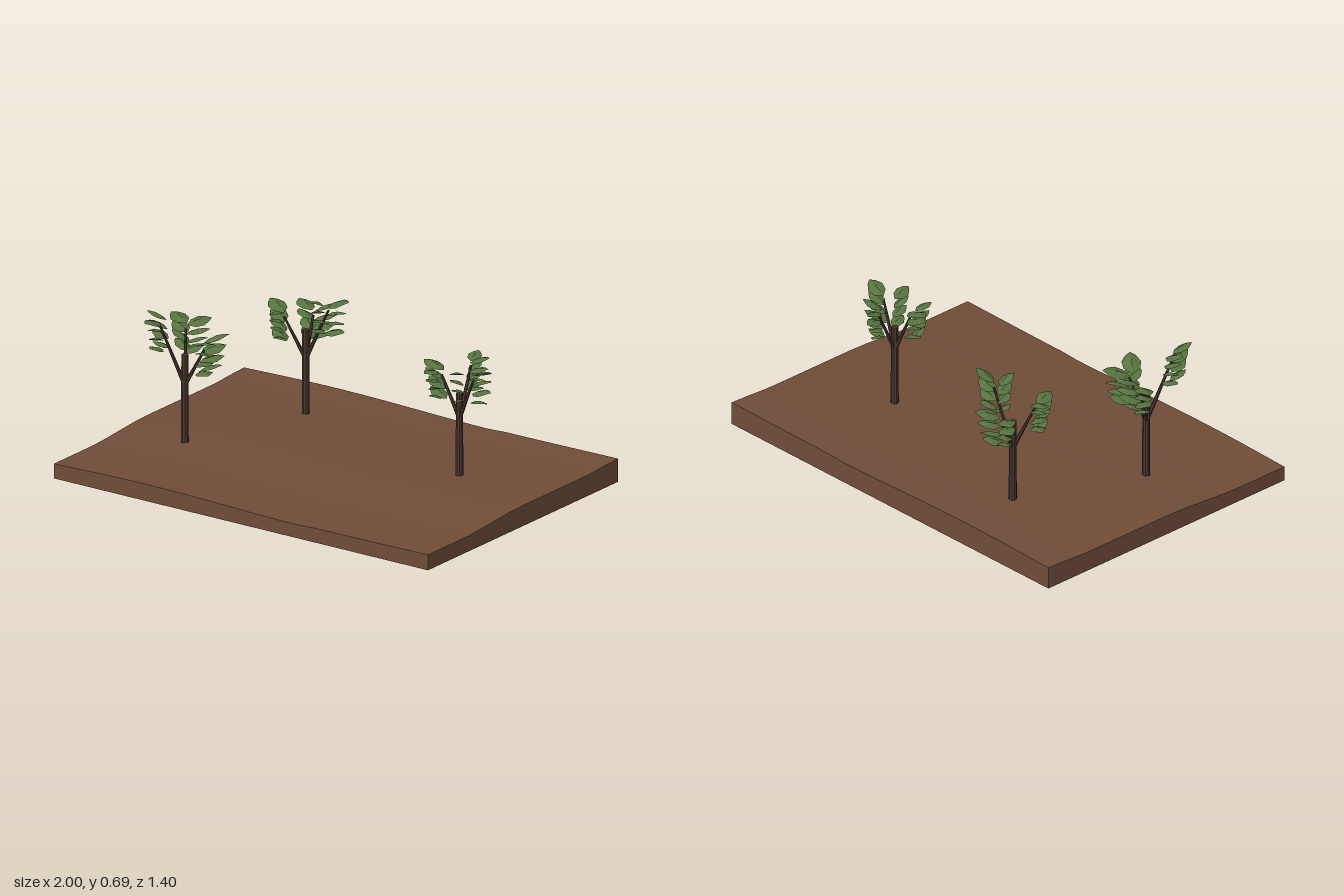
import * as THREE from 'three';

const soil = new THREE.MeshStandardMaterial({ color: 0x704d39 });
soil.name = 'soil brown';
const bark = new THREE.MeshStandardMaterial({ color: 0x4a372e, flatShading: true });
bark.name = 'bark brown';
const foliage = new THREE.MeshStandardMaterial({ color: 0x55723f, flatShading: true, side: THREE.DoubleSide });
foliage.name = 'leaf green';

// Ground surface: higher at the back, with gentle waves
function groundHeight(x, z) {
  const t = THREE.MathUtils.smoothstep(-z, -0.45, 0.0);
  const rise = 0.014 * THREE.MathUtils.smoothstep(-z, 0.45, 0.7);
  return 0.069 + 0.024 * t + rise * 0.8 + 0.008 * Math.cos((x + 0.5) * 3.6) * (x > 0.4 ? 0.4 : 1);
}

function createGround() {
  const geo = new THREE.BoxGeometry(2, 1, 1.4, 20, 1, 14);
  const p = geo.attributes.position;
  for (let i = 0; i < p.count; i++) {
    p.setY(i, p.getY(i) > 0 ? groundHeight(p.getX(i), p.getZ(i)) : 0);
  }
  geo.computeVertexNormals();
  const mesh = new THREE.Mesh(geo, soil);
  mesh.name = 'ground';
  return mesh;
}

// Folded leaf pointing along +x: [distance, half width, midrib height, edge height]
function createLeafGeometry() {
  const rows = [[0, 0.003, 0, 0], [0.025, 0.03, 0.012, 0.002], [0.058, 0.036, 0.018, 0.006], [0.085, 0.02, 0.016, 0.01], [0.104, 0, 0.01, 0.01]];
  const v = [];
  for (let i = 0; i < rows.length - 1; i++) {
    const [x0, w0, m0, e0] = rows[i];
    const [x1, w1, m1, e1] = rows[i + 1];
    const a = [x0, m0, 0], b = [x1, m1, 0];
    const r0 = [x0, e0, w0], r1 = [x1, e1, w1];
    const l0 = [x0, e0, -w0], l1 = [x1, e1, -w1];
    v.push(...a, ...r0, ...r1, ...a, ...r1, ...b);
    v.push(...a, ...l1, ...l0, ...a, ...b, ...l1);
  }
  const geo = new THREE.BufferGeometry();
  geo.setAttribute('position', new THREE.Float32BufferAttribute(v, 3));
  geo.computeVertexNormals();
  return geo;
}
const leafGeometry = createLeafGeometry();

// Tapered round limb between two points
function limb(name, from, to, r0, r1, sides) {
  const dir = to.clone().sub(from);
  const mesh = new THREE.Mesh(new THREE.CylinderGeometry(r1, r0, dir.length(), sides), bark);
  mesh.position.copy(from).addScaledVector(dir, 0.5);
  mesh.quaternion.setFromUnitVectors(new THREE.Vector3(0, 1, 0), dir.normalize());
  mesh.name = name;
  return mesh;
}

// A rising row of leaves along one side of a branch
function leafRow([bx, bz, tx, tz], top, seed) {
  const row = new THREE.Group();
  row.name = 'leafRow';
  const yaw = Math.atan2(-(tz - bz), tx - bx);
  const length = Math.hypot(tx - bx, tz - bz);
  for (let i = 0; i < 4; i++) {
    const leaf = new THREE.Mesh(leafGeometry, foliage);
    leaf.name = 'leaf';
    const wobble = Math.sin(seed * 2.3 + i * 1.9);
    const back = (3 - i) * 0.006;
    const s = THREE.MathUtils.clamp(length / 0.112, 0.85, 1.2) * (1 - 0.04 * (3 - i));
    leaf.position.set(bx - back * Math.cos(yaw), top - 0.03 - (3 - i) * 0.042, bz + back * Math.sin(yaw));
    leaf.rotation.set(0.22 * wobble, yaw + 0.15 * wobble, 0.16 + 0.1 * Math.cos(seed + i), 'YXZ');
    leaf.scale.setScalar(s);
    row.add(leaf);
  }
  return row;
}

// Each branch: tip x, z, top height, then leaf rows as base x, z to tip x, z
const trees = [
  { x: -0.67, z: 0.19, top: 0.49, branches: [
    { tip: [-0.73, 0.1], top: 0.62, rows: [[-0.74, 0.08, -0.86, 0.05], [-0.72, 0.1, -0.64, 0.01]] },
    { tip: [-0.57, 0.185], top: 0.58, rows: [[-0.59, 0.17, -0.51, 0.06], [-0.58, 0.195, -0.47, 0.28]] },
    { tip: [-0.72, 0.3], top: 0.69, rows: [[-0.72, 0.26, -0.82, 0.28], [-0.715, 0.31, -0.715, 0.42]] }] },
  { x: -0.445, z: -0.39, top: 0.485, branches: [
    { tip: [-0.47, -0.48], top: 0.57, rows: [[-0.48, -0.48, -0.59, -0.535], [-0.46, -0.48, -0.38, -0.57]] },
    { tip: [-0.32, -0.385], top: 0.65, rows: [[-0.32, -0.385, -0.2, -0.385], [-0.355, -0.385, -0.35, -0.285]] },
    { tip: [-0.51, -0.32], top: 0.6, rows: [[-0.51, -0.32, -0.63, -0.365], [-0.515, -0.31, -0.515, -0.205]] }] },
  { x: 0.54, z: -0.165, top: 0.465, branches: [
    { tip: [0.525, -0.27], top: 0.61, rows: [[0.525, -0.27, 0.505, -0.365], [0.535, -0.25, 0.635, -0.275]] },
    { tip: [0.63, -0.145], top: 0.6, rows: [[0.635, -0.145, 0.75, -0.14], [0.58, -0.125, 0.585, -0.025]] },
    { tip: [0.46, -0.145], top: 0.59, rows: [[0.465, -0.15, 0.34, -0.165], [0.455, -0.12, 0.455, -0.025]] }] },
];

function createTree({ x, z, top, branches }, index) {
  const tree = new THREE.Group();
  tree.name = 'tree' + (index + 1);
  const at = (y) => new THREE.Vector3(x, y, z);
  tree.add(limb('trunk', at(groundHeight(x, z) - 0.01), at(top), 0.018, 0.016, 10));
  branches.forEach((b, i) => {
    const branch = new THREE.Group();
    branch.name = 'branch' + (i + 1);
    const tip = new THREE.Vector3(b.tip[0], b.top - 0.05, b.tip[1]);
    branch.add(limb('bough', at(0.35), tip, 0.01, 0.005, 6));
    b.rows.forEach((row, j) => branch.add(leafRow(row, b.top, index * 7 + i * 2 + j)));
    tree.add(branch);
  });
  return tree;
}

export function createModel() {
  const model = new THREE.Group();
  model.name = 'groveOnGround';
  model.add(createGround());
  trees.forEach((t, i) => model.add(createTree(t, i)));
  return model;
}
